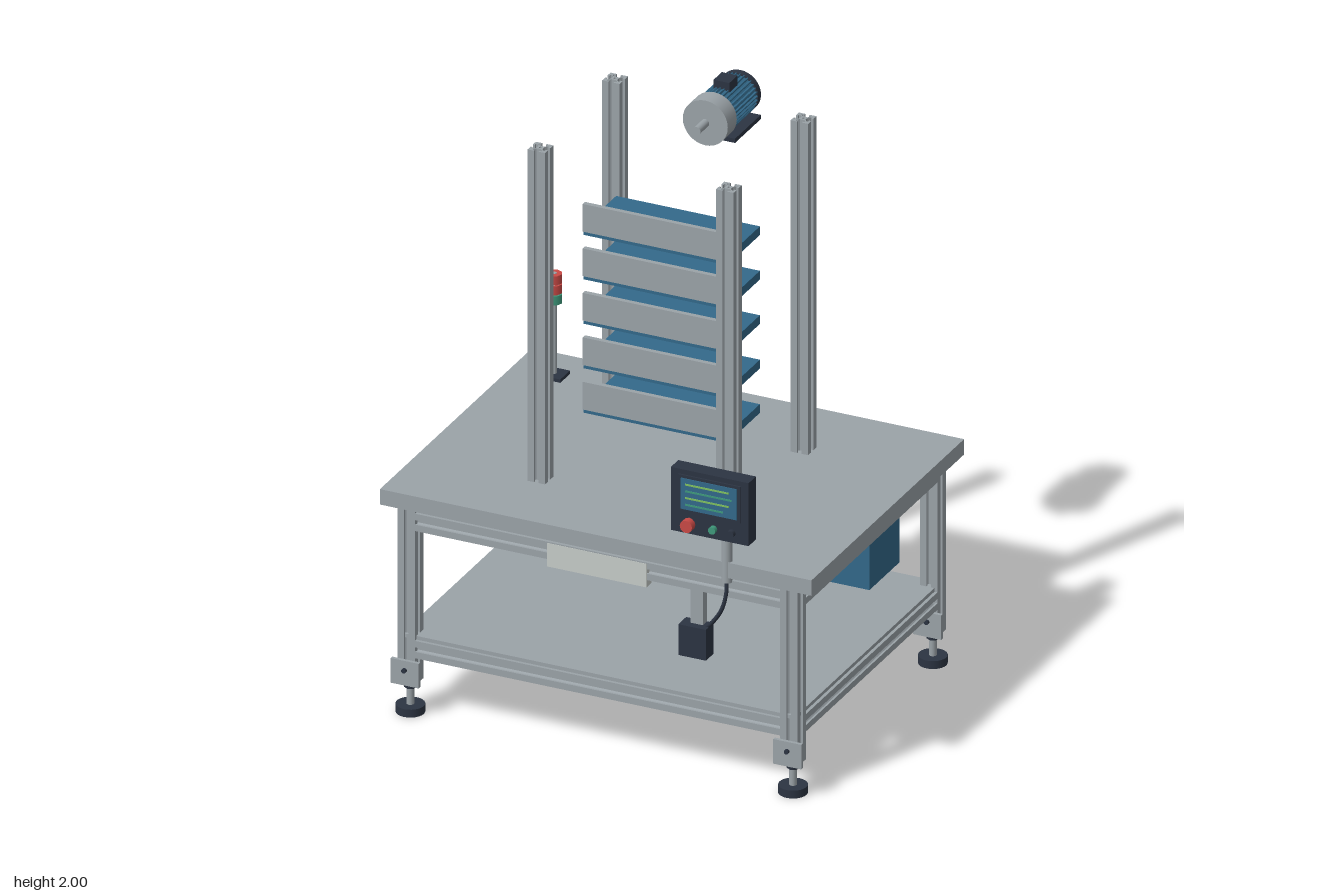
import * as THREE from 'three';

const mat = (name, color) => {
  const m = new THREE.MeshStandardMaterial({ color });
  m.name = name;
  return m;
};

export function createModel() {
  const root = new THREE.Group();
  const grey = mat('aluminium grey', 0x9ba3a8);
  const blue = mat('steel blue', 0x33698a);
  const dark = mat('dark slate', 0x2c3442);
  const pale = mat('pale grey', 0xc6ccc8);
  const red = mat('signal red', 0xc94a46);
  const green = mat('signal green', 0x3f9a7c);
  const lime = mat('screen green', 0x7fc060);

  const add = (name, geo, m, x = 0, y = 0, z = 0) => {
    const mesh = new THREE.Mesh(geo, m);
    mesh.name = name;
    mesh.position.set(x, y, z);
    root.add(mesh);
    return mesh;
  };
  // box given by its min and max on each axis
  const box = (name, m, x0, x1, y0, y1, z0, z1) =>
    add(name, new THREE.BoxGeometry(x1 - x0, y1 - y0, z1 - z0), m,
      (x0 + x1) / 2, (y0 + y1) / 2, (z0 + z1) / 2);
  // upright cylinder from y0 to y1
  const rod = (name, m, r, x, z, y0, y1, n = 20) =>
    add(name, new THREE.CylinderGeometry(r, r, y1 - y0, n), m, x, (y0 + y1) / 2, z);
  // cylinder along z from z0 to z1
  const axle = (name, m, r, x, y, z0, z1, n = 20) =>
    add(name, new THREE.CylinderGeometry(r, r, z1 - z0, n).rotateX(Math.PI / 2), m, x, y, (z0 + z1) / 2);

  // T-slot aluminium profile, one slotted side repeated four times
  const H = 0.031;
  const side = [[H, -H], [H, -0.008], [0.024, -0.008], [0.024, -0.016], [0.018, -0.016], [0.011, -0.008],
    [0.011, 0.008], [0.018, 0.016], [0.024, 0.016], [0.024, 0.008], [H, 0.008]];
  const outline = [];
  for (let k = 0; k < 4; k++) {
    const c = Math.round(Math.cos(k * Math.PI / 2)), s = Math.round(Math.sin(k * Math.PI / 2));
    for (const [x, y] of side) outline.push(new THREE.Vector2(x * c - y * s, x * s + y * c));
  }
  const profile = new THREE.Shape(outline);
  profile.holes.push(new THREE.Path().absarc(0, 0, 0.005, 0, Math.PI * 2, true));
  const beam = (name, axis, length, x, y, z) => {
    const g = new THREE.ExtrudeGeometry(profile, { depth: length, bevelEnabled: false, curveSegments: 6 });
    g.translate(0, 0, -length / 2);
    if (axis === 'y') g.rotateX(Math.PI / 2);
    if (axis === 'x') g.rotateY(Math.PI / 2);
    return add(name, g, grey, x, y, z);
  };

  // table
  const LX = 0.68, ZC = -0.065, LZ = 0.52;
  box('tableTop', grey, -0.767, 0.767, 0.74, 0.795, -0.635, 0.5);
  box('topUnderPanel', grey, -0.7, 0.7, 0.726, 0.74, ZC - 0.54, ZC + 0.54);
  box('lowerShelf', grey, -0.7, 0.7, 0.271, 0.284, ZC - 0.54, ZC + 0.54);
  for (const y of [0.24, 0.695]) {
    for (const s of [-1, 1]) {
      beam('crossRail', 'x', 2 * (LX - H), 0, y, ZC + s * LZ);
      beam('sideRail', 'z', 2 * (LZ - H), s * LX, y, ZC);
    }
  }
  for (const sx of [-1, 1]) {
    for (const sz of [-1, 1]) {
      const x = sx * LX, z = ZC + sz * LZ;
      beam('leg', 'y', 0.63, x, 0.425, z);
      rod('footStud', grey, 0.013, x, z, 0.02, 0.112, 12);
      rod('footNut', dark, 0.021, x, z, 0.088, 0.098, 6);
      rod('footPad', dark, 0.048, x, z, 0, 0.028, 24);
      // clamp plate and its bolt
      box('footBracket', grey, x - 0.05, x + 0.05, 0.11, 0.198, z + H, z + H + 0.012);
      axle('bracketBolt', dark, 0.008, x, 0.165, z + H + 0.012, z + H + 0.022, 10);
    }
  }

  // tall posts
  for (const x of [-0.335, 0.335]) {
    for (const z of [-0.345, 0.21]) beam('post', 'y', 1.185, x, 1.3875, z);
  }

  // stacked carriers with front lips
  for (let i = 0; i < 5; i++) {
    const y = 0.978 + i * 0.159;
    box('carrierTray', blue, -0.257, 0.254, y, y + 0.031, -0.19, 0.053);
    box('carrierLip', grey, -0.257, 0.254, y + 0.014, y + 0.113, 0.042, 0.059);
  }

  // motor with finned body
  const MY = 1.905;
  const fins = [];
  for (let i = 0; i < 32; i++) {
    [0.067, 0.073, 0.073, 0.067].forEach((r, j) => {
      const a = (i + j * 0.2) / 32 * Math.PI * 2;
      fins.push(new THREE.Vector2(r * Math.cos(a), r * Math.sin(a)));
    });
  }
  add('motorBody', new THREE.ExtrudeGeometry(new THREE.Shape(fins), { depth: 0.175, bevelEnabled: false }),
    blue, 0, MY, -0.555);
  axle('motorFanCover', dark, 0.073, 0, MY, -0.577, -0.553, 32);
  axle('motorFlange', grey, 0.08, 0, MY, -0.382, -0.315, 32);
  axle('motorShaft', grey, 0.014, 0, MY, -0.315, -0.25);
  box('motorBase', dark, -0.077, 0.077, 1.823, 1.838, -0.567, -0.375);
  box('terminalBox', dark, -0.028, 0.028, 1.96, 2, -0.497, -0.435);

  // signal tower
  const TX = -0.615, TZ = -0.48;
  box('towerBase', dark, TX - 0.038, TX + 0.038, 0.795, 0.807, TZ - 0.036, TZ + 0.036);
  rod('towerPole', grey, 0.008, TX, TZ, 0.8, 1.165, 12);
  [green, red, red].forEach((m, i) => {
    const y = 1.06 + i * 0.036;
    rod('towerLamp', m, 0.026, TX, TZ, y, y + 0.032, 8);
    if (i < 2) rod('towerRing', pale, 0.02, TX, TZ, y + 0.032, y + 0.036, 8);
  });

  // operator panel
  rod('panelArm', grey, 0.018, 0.46, 0.485, 0.72, 0.99);
  box('panelHousing', dark, 0.32, 0.596, 0.93, 1.155, 0.555, 0.61);
  box('screenBezel', dark, 0.347, 0.57, 1.007, 1.138, 0.61, 0.616);
  box('screen', blue, 0.359, 0.558, 1.018, 1.128, 0.616, 0.619);
  for (let i = 0; i < 4; i++) {
    box('screenLine', i % 2 ? lime : green, 0.375, i === 0 ? 0.51 : 0.54 - 0.01 * (i % 2),
      1.033 + i * 0.024, 1.039 + i * 0.024, 0.619, 0.621);
  }
  axle('stopButton', red, 0.022, 0.385, 0.965, 0.61, 0.635, 12);
  axle('startButton', green, 0.013, 0.472, 0.965, 0.61, 0.626, 12);
  axle('modeButton', dark, 0.013, 0.537, 0.965, 0.61, 0.626, 12);

  // switch box, its bracket and cable
  box('switchBox', dark, 0.3, 0.398, 0.435, 0.545, 0.455, 0.513);
  box('switchBracket', grey, 0.33, 0.374, 0.54, 0.67, 0.455, 0.486);
  const cable = new THREE.CatmullRomCurve3([[0.46, 0.73, 0.487], [0.46, 0.68, 0.492], [0.445, 0.62, 0.494],
    [0.41, 0.565, 0.49], [0.385, 0.54, 0.485]].map((p) => new THREE.Vector3(...p)));
  add('cable', new THREE.TubeGeometry(cable, 24, 0.007, 8), dark);

  // pale tray under the front edge
  box('frontTray', pale, -0.18, 0.175, 0.638, 0.722, 0.45, 0.487);

  // electrical cabinet with vented door at the back
  box('cabinet', blue, 0.12, 0.55, 0.32, 0.661, -0.61, -0.385);
  box('cabinetDoor', pale, 0.126, 0.544, 0.326, 0.655, -0.62, -0.61);
  for (let i = 0; i < 8; i++) {
    for (const x of [0.295, 0.39]) {
      box('ventSlot', dark, x - 0.04, x + 0.04, 0.375 + i * 0.022, 0.385 + i * 0.022, -0.622, -0.619);
    }
  }
  axle('doorLock', dark, 0.014, 0.505, 0.49, -0.632, -0.62, 12);

  return root;
}
